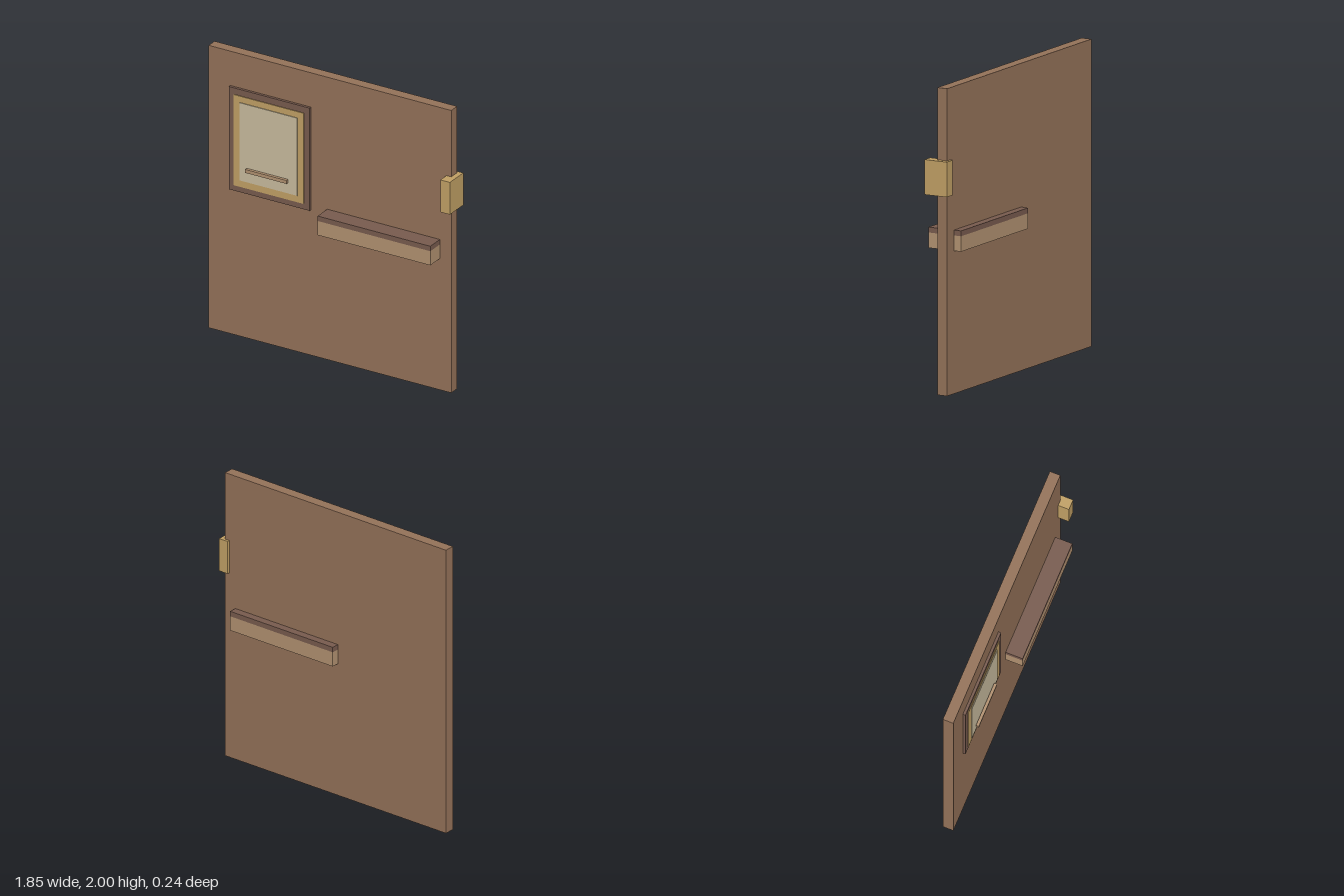
import * as THREE from 'three';

const paint = (name, color) => {
  const m = new THREE.MeshStandardMaterial({ color });
  m.name = name;
  return m;
};

export function createModel() {
  const wood = paint('brown wood', 0x947259);
  const darkWood = paint('dark wood', 0x785b4e);
  const lightWood = paint('light wood', 0xb29271);
  const brass = paint('brass', 0xc1a065);
  const paper = paint('pale paper', 0xc9bc9e);

  const model = new THREE.Group();
  model.name = 'doorPanel';

  // Box given by its extents on each axis
  const box = (name, material, [x0, x1], [y0, y1], [z0, z1]) => {
    const mesh = new THREE.Mesh(new THREE.BoxGeometry(x1 - x0, y1 - y0, z1 - z0), material);
    mesh.position.set((x0 + x1) / 2, (y0 + y1) / 2, (z0 + z1) / 2);
    mesh.name = name;
    model.add(mesh);
  };

  // Main slab
  box('panel', wood, [-0.925, 0.89], [0, 2], [-0.068, 0.004]);

  // Framed notice: stepped layers on the front face
  box('outerFrame', darkWood, [-0.763, -0.158], [1.03, 1.757], [0.004, 0.022]);
  box('innerFrame', brass, [-0.724, -0.202], [1.07, 1.712], [0.022, 0.027]);
  box('noticeSheet', paper, [-0.676, -0.246], [1.118, 1.668], [0.027, 0.032]);
  box('noticeBar', lightWood, [-0.62, -0.31], [1.196, 1.22], [0.036, 0.056]);

  // Push bar running through the slab, with a dark cap
  box('pushBar', lightWood, [-0.038, 0.805], [0.93, 1.03], [-0.121, 0.121]);
  box('pushBarCap', darkWood, [-0.038, 0.805], [1.03, 1.065], [-0.121, 0.121]);

  // Latch wrapping the free edge
  box('latch', brass, [0.854, 0.925], [1.302, 1.53], [-0.086, 0.078]);

  return model;
}
